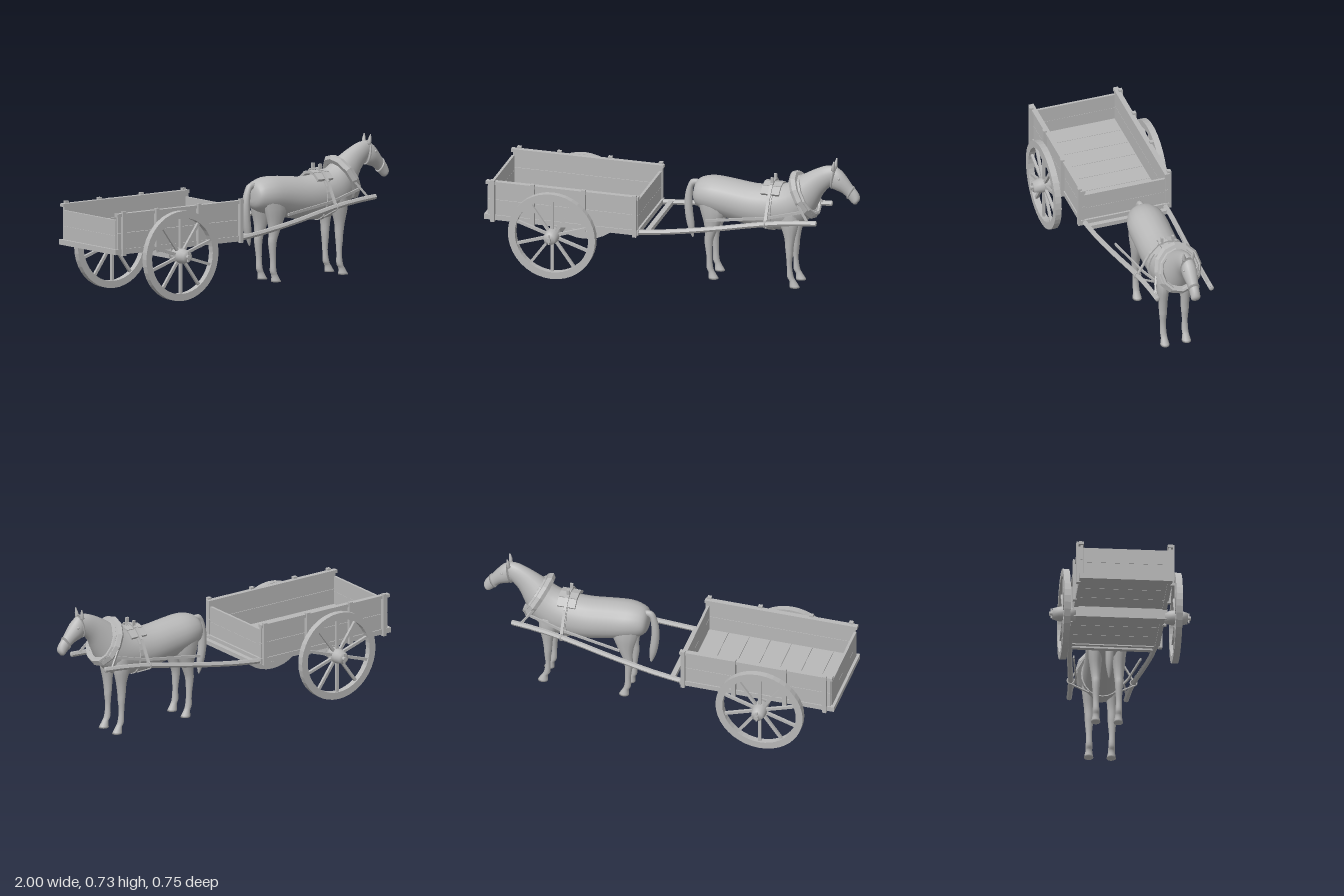
import * as THREE from 'three';

const V = (x, y, z) => new THREE.Vector3(x, y, z);

export function createModel() {
  const root = new THREE.Group();
  const gray = new THREE.MeshStandardMaterial({ color: 0xb8b8b8 });
  gray.name = 'plain grey';

  function add(parent, name, geo) {
    const m = new THREE.Mesh(geo, gray);
    m.name = name;
    parent.add(m);
    return m;
  }
  function group(name) {
    const g = new THREE.Group();
    g.name = name;
    root.add(g);
    return g;
  }
  const flat = (geo) => {
    const g = geo.toNonIndexed();
    g.computeVertexNormals();
    return g;
  };
  // Box given by its limits
  const block = (p, name, x0, x1, y0, y1, z0, z1) =>
    add(p, name, new THREE.BoxGeometry(x1 - x0, y1 - y0, z1 - z0))
      .position.set((x0 + x1) / 2, (y0 + y1) / 2, (z0 + z1) / 2);
  // Straight bar between two points, in the parent's own space
  function bar(p, name, a, b, w, h) {
    const m = add(p, name, new THREE.BoxGeometry(w, h, a.distanceTo(b)));
    m.position.copy(a).add(b).multiplyScalar(0.5);
    m.quaternion.setFromRotationMatrix(new THREE.Matrix4().lookAt(b, a, V(0, 1, 0)));
  }
  // Smooth skin through sections [topX, topY, bottomX, bottomY, halfWidth, centreZ]
  function loft(sections, sub = 4, n = 16, grow = 0) {
    const S = sections.map((s) => [...s, 0].slice(0, 6));
    const rings = [];
    for (let i = 0; i < S.length - 1; i++) {
      const [a, b, c, d] = [S[Math.max(i - 1, 0)], S[i], S[i + 1], S[Math.min(i + 2, S.length - 1)]];
      for (let k = 0; k < sub; k++) {
        const t = k / sub;
        rings.push(b.map((v, j) => v + 0.5 * t * (c[j] - a[j] + t * (2 * a[j] - 5 * v + 4 * c[j] - d[j]
          + t * (3 * (v - c[j]) + d[j] - a[j])))));
      }
    }
    rings.push(S[S.length - 1]);
    const pos = [], idx = [];
    for (const [tx, ty, bx, by, w, z] of rings) {
      const hx = (tx - bx) / 2, hy = (ty - by) / 2, f = 1 + grow / Math.hypot(hx, hy);
      for (let j = 0; j < n; j++) {
        const q = (j / n) * Math.PI * 2, c = Math.cos(q) * f;
        pos.push((tx + bx) / 2 + hx * c, (ty + by) / 2 + hy * c, z + (w + grow) * Math.sin(q));
      }
    }
    for (let i = 0; i < rings.length - 1; i++) for (let j = 0; j < n; j++) {
      const a = i * n + j, b = i * n + (j + 1) % n;
      idx.push(a, b, a + n, b, b + n, a + n);
    }
    // End caps
    for (const e of [0, rings.length - 1]) {
      const [tx, ty, bx, by, , z] = rings[e], c = pos.length / 3;
      pos.push((tx + bx) / 2, (ty + by) / 2, z);
      for (let j = 0; j < n; j++) {
        const a = e * n + j, b = e * n + (j + 1) % n;
        if (e) idx.push(c, a, b); else idx.push(c, b, a);
      }
    }
    const g = new THREE.BufferGeometry();
    g.setAttribute('position', new THREE.Float32BufferAttribute(pos, 3));
    g.setIndex(idx);
    g.computeVertexNormals();
    return g;
  }
  // Flat ring in the xy plane, centred in depth
  function ring(rx, ry, thick, depth, seg) {
    const s = new THREE.Shape().absellipse(0, 0, rx, ry, 0, Math.PI * 2);
    s.holes.push(new THREE.Path().absellipse(0, 0, rx - thick, ry - thick, 0, Math.PI * 2));
    return new THREE.ExtrudeGeometry(s, { depth, bevelEnabled: false, curveSegments: seg })
      .translate(0, 0, -depth / 2);
  }

  // ---- Cart bed
  const cart = group('cart');
  for (let i = 0; i < 7; i++) {
    const x = -0.975 + i * 0.1157;
    block(cart, 'floorPlank', x, x + 0.1135, 0.278, 0.302, -0.225, 0.225);
  }
  block(cart, 'rearSill', -1, -0.972, 0.272, 0.3, -0.245, 0.245);
  block(cart, 'frontSill', -0.17, -0.15, 0.272, 0.3, -0.24, 0.24);
  for (const x of [-0.985, -0.175]) for (const y of [0.288, 0.372])
    block(cart, 'endBoard', x, x + 0.014, y, y + 0.083, -0.226, 0.226);
  for (const s of [-1, 1]) {
    const side = (name, x0, x1, y0, y1, a, b) =>
      block(cart, name, x0, x1, y0, y1, Math.min(s * a, s * b), Math.max(s * a, s * b));
    side('sideSill', -1, -0.15, 0.272, 0.3, 0.222, 0.246);
    side('lowerSideBoard', -0.98, -0.155, 0.3, 0.385, 0.226, 0.24);
    side('upperSideBoard', -0.98, -0.155, 0.387, 0.475, 0.226, 0.24);
    side('topRail', -0.99, -0.15, 0.473, 0.49, 0.222, 0.25);
    for (const x of [-0.95, -0.73, -0.45, -0.17])
      side('sidePost', x - 0.011, x + 0.011, 0.265, 0.5, 0.24, 0.26);
  }
  block(cart, 'axleBeam', -0.635, -0.585, 0.22, 0.278, -0.25, 0.25);

  // ---- Wheels
  for (const s of [-1, 1]) {
    const wheel = group('wheel');
    wheel.position.set(-0.608, 0.24, s * 0.297);
    add(wheel, 'rim', ring(0.24, 0.24, 0.038, 0.034, 20));
    for (let i = 0; i < 10; i++) {
      const q = ((i + 0.5) / 10) * Math.PI * 2, c = Math.cos(q), n = Math.sin(q);
      bar(wheel, 'spoke', V(c * 0.03, n * 0.03, 0), V(c * 0.206, n * 0.206, 0), 0.015, 0.015);
    }
    const hub = [[0, -0.061], [0.03, -0.061], [0.038, -0.03], [0.041, 0], [0.038, 0.03], [0.03, 0.061], [0, 0.061]];
    add(wheel, 'hub', new THREE.LatheGeometry(hub.map((p) => new THREE.Vector2(...p)), 16)).rotation.x = Math.PI / 2;
    const end = add(wheel, 'axleEnd', new THREE.CylinderGeometry(0.012, 0.012, 0.03, 10));
    end.rotation.x = Math.PI / 2;
    end.position.z = s * 0.063;
    block(wheel, 'linchPin', -0.004, 0.004, -0.026, 0.028, s * 0.067 - 0.004, s * 0.067 + 0.004);
  }

  // ---- Shafts
  const shafts = group('shafts');
  for (const s of [-1, 1]) {
    const path = new THREE.CatmullRomCurve3([V(-0.2, 0.28, s * 0.228), V(0, 0.3, s * 0.217),
      V(0.25, 0.336, s * 0.193), V(0.5, 0.38, s * 0.169), V(0.66, 0.401, s * 0.157), V(0.8, 0.412, s * 0.151)]);
    add(shafts, 'shaft', flat(new THREE.TubeGeometry(path, 10, 0.0145, 6)));
    const tip = add(shafts, 'shaftTip', new THREE.SphereGeometry(0.0138, 8, 6));
    tip.scale.x = 0.3;
    tip.position.set(0.8, 0.412, s * 0.151);
  }
  block(shafts, 'crossBar', -0.118, -0.092, 0.277, 0.3, -0.222, 0.222);

  // ---- Horse
  const horse = group('horse');
  add(horse, 'body', loft([
    [0.09, 0.47, 0.09, 0.43, 0.025], [0.098, 0.515, 0.1, 0.4, 0.066], [0.13, 0.543, 0.132, 0.375, 0.09],
    [0.2, 0.557, 0.2, 0.355, 0.107], [0.3, 0.55, 0.3, 0.33, 0.108], [0.42, 0.537, 0.42, 0.307, 0.108],
    [0.53, 0.543, 0.54, 0.3, 0.104], [0.6, 0.565, 0.65, 0.32, 0.097], [0.65, 0.6, 0.725, 0.38, 0.085],
    [0.7, 0.632, 0.765, 0.455, 0.066], [0.755, 0.662, 0.8, 0.53, 0.05], [0.81, 0.685, 0.845, 0.58, 0.04],
    [0.86, 0.69, 0.87, 0.6, 0.03]], 3, 20));
  const headRings = [[0.835, 0.68, 0.815, 0.6, 0.022], [0.862, 0.686, 0.84, 0.567, 0.036], [0.898, 0.663, 0.868, 0.556, 0.041],
    [0.93, 0.625, 0.9, 0.545, 0.035], [0.958, 0.587, 0.925, 0.525, 0.028], [0.985, 0.555, 0.948, 0.5, 0.026],
    [0.998, 0.525, 0.966, 0.486, 0.025], [0.994, 0.505, 0.978, 0.486, 0.012]];
  add(horse, 'head', loft(headRings, 3, 16));
  for (const s of [-1, 1]) {
    add(horse, 'ear', loft([[0.868, 0.725, 0.86, 0.725, 0.001, s * 0.027],
      [0.868, 0.695, 0.85, 0.695, 0.011, s * 0.025], [0.868, 0.672, 0.846, 0.672, 0.012, s * 0.022]], 3, 8));
    const eye = add(horse, 'eye', new THREE.SphereGeometry(0.007, 10, 8));
    eye.position.set(0.892, 0.632, s * 0.035);
    add(horse, 'frontLeg', loft([
      [0.675, 0.43, 0.56, 0.43, 0.034, s * 0.062], [0.678, 0.36, 0.575, 0.36, 0.034, s * 0.063],
      [0.66, 0.28, 0.6, 0.28, 0.026, s * 0.062], [0.65, 0.215, 0.606, 0.215, 0.023, s * 0.061],
      [0.648, 0.18, 0.61, 0.18, 0.021, s * 0.061], [0.642, 0.12, 0.614, 0.12, 0.016, s * 0.061],
      [0.65, 0.06, 0.615, 0.06, 0.018, s * 0.06], [0.662, 0.035, 0.628, 0.035, 0.018, s * 0.06],
      [0.685, 0, 0.628, 0, 0.025, s * 0.06]], 3, 12));
    add(horse, 'hindLeg', loft([
      [0.27, 0.46, 0.115, 0.48, 0.035, s * 0.06], [0.275, 0.39, 0.135, 0.39, 0.037, s * 0.062],
      [0.25, 0.32, 0.157, 0.31, 0.03, s * 0.062], [0.22, 0.25, 0.163, 0.25, 0.024, s * 0.061],
      [0.207, 0.205, 0.16, 0.21, 0.021, s * 0.061], [0.203, 0.12, 0.172, 0.12, 0.016, s * 0.061],
      [0.208, 0.06, 0.172, 0.06, 0.018, s * 0.06], [0.217, 0.035, 0.182, 0.035, 0.018, s * 0.06],
      [0.238, 0, 0.182, 0, 0.025, s * 0.06]], 3, 12));
  }
  add(horse, 'tail', loft([[0.115, 0.5, 0.11, 0.53, 0.014], [0.085, 0.49, 0.067, 0.523, 0.018],
    [0.078, 0.44, 0.038, 0.45, 0.021], [0.078, 0.36, 0.033, 0.36, 0.023], [0.088, 0.27, 0.046, 0.27, 0.019],
    [0.085, 0.21, 0.07, 0.205, 0.006], [0.08, 0.196, 0.078, 0.196, 0.001]], 3, 10));

  // ---- Harness
  const harness = group('harness');
  // Collar tilted along the base of the neck, with a thinner hame ring in front
  const tilted = (name, tube, x, y, w, h) => {
    const m = add(harness, name, flat(new THREE.TorusGeometry(0.1, tube, 6, 12).scale(w, h, 1).rotateY(Math.PI / 2)));
    m.rotation.z = 0.5;
    m.position.set(x, y, 0);
  };
  tilted('collar', 0.023, 0.692, 0.509, 1.07, 1.14);
  tilted('hames', 0.011, 0.716, 0.509, 1, 1.08);
  // Bridle bands
  const band = (name, i, t) => {
    const mix = (u) => headRings[i].map((v, k) => v + u * (headRings[i + 1][k] - v));
    add(harness, name, loft([mix(t), mix(t + 0.28)], 1, 16, 0.004));
  };
  band('browBand', 1, 0);
  band('noseBand', 4, 0.1);
  // Girth, saddle pad and back strap
  const girth = add(harness, 'girth', ring(0.112, 0.127, 0.012, 0.022, 12));
  girth.rotation.y = Math.PI / 2;
  girth.position.set(0.527, 0.422, 0);
  for (const s of [-1, 1]) {
    // Band along [z, y] points across the back
    const over = (name, pts, w, h) => pts.slice(1).forEach(([z, y], i) =>
      bar(harness, name, V(0.525, pts[i][1], s * pts[i][0]), V(0.525, y, s * z), w, h));
    over('saddlePad', [[0, 0.556], [0.04, 0.548], [0.078, 0.517]], 0.1, 0.016);
    over('backStrap', [[0, 0.572], [0.05, 0.562], [0.1, 0.51], [0.17, 0.385]], 0.016, 0.008);
    over('bellyStrap', [[0.167, 0.365], [0.07, 0.32]], 0.014, 0.006);
    block(harness, 'saddlePost', 0.517, 0.533, 0.54, 0.597, s * 0.03 - 0.006, s * 0.03 + 0.006);
    const loop = add(harness, 'shaftLoop', new THREE.TorusGeometry(0.018, 0.004, 6, 10));
    loop.rotation.y = Math.PI / 2;
    loop.position.set(0.525, 0.384, s * 0.167);
    // Traces from the collar back along the shafts
    bar(harness, 'trace', V(0.71, 0.455, s * 0.122), V(0.525, 0.408, s * 0.14), 0.008, 0.014);
    bar(harness, 'trace', V(0.525, 0.408, s * 0.14), V(0.2, 0.372, s * 0.178), 0.008, 0.014);
    bar(harness, 'hameStrap', V(0.69, 0.495, s * 0.12), V(0.755, 0.41, s * 0.15), 0.008, 0.012);
  }
  return root;
}
